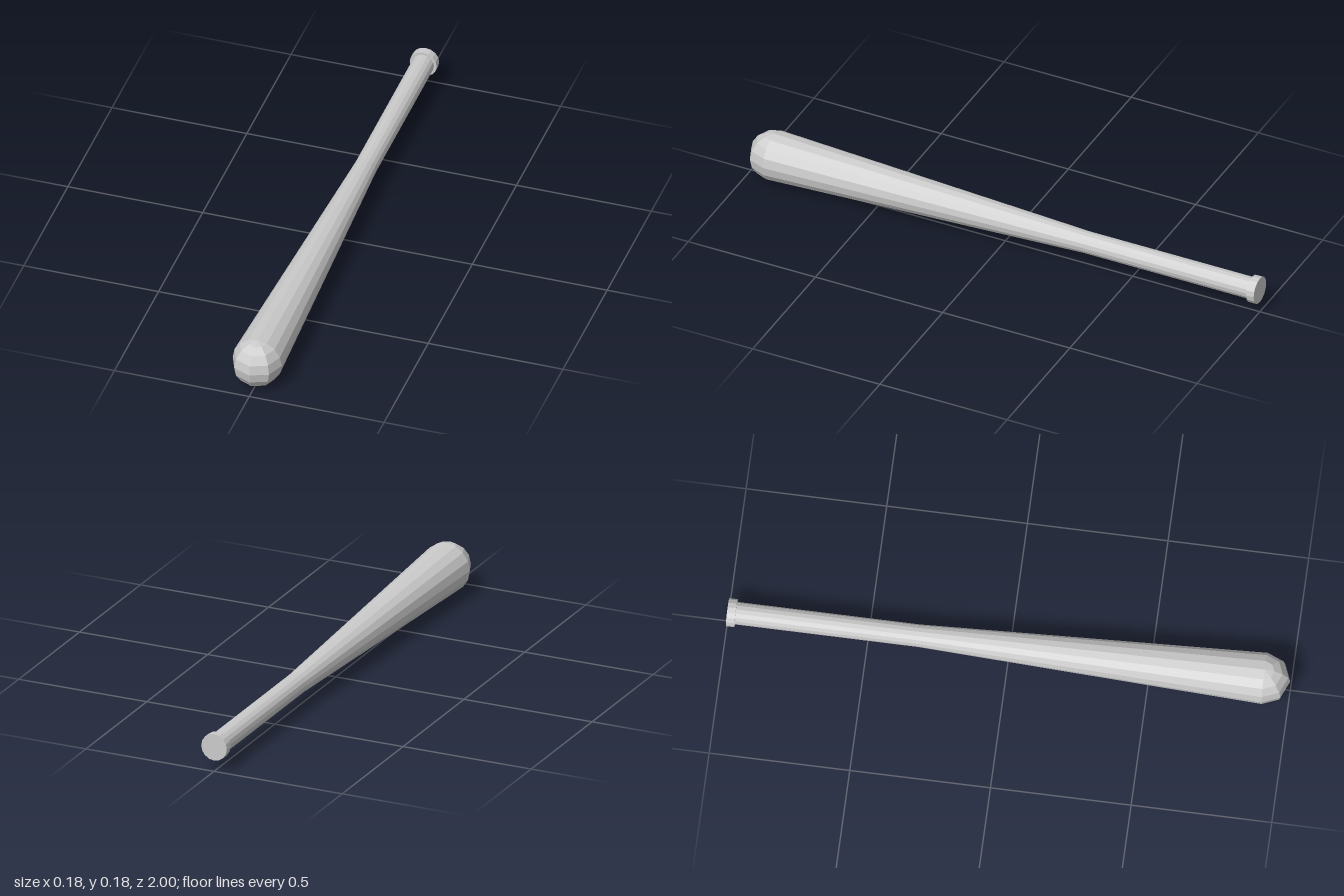
import * as THREE from 'three';

const SIDES = 16;
const R = 0.091; // barrel radius, also the height of the axis

export function createModel() {
  const bat = new THREE.Group();
  bat.name = 'bat';
  const material = new THREE.MeshStandardMaterial({ color: 0xcccccc, flatShading: true });

  const add = (name, geometry) => {
    const mesh = new THREE.Mesh(geometry, material);
    mesh.name = name;
    mesh.position.y = R;
    bat.add(mesh);
  };

  // Section along z from the back radius to the front radius
  const section = (name, zBack, zFront, rBack, rFront, open) => {
    const g = new THREE.CylinderGeometry(rFront, rBack, zFront - zBack, SIDES, 1, open);
    g.rotateX(Math.PI / 2);
    g.translate(0, 0, (zBack + zFront) / 2);
    add(name, g);
  };

  section('knob', -1, -0.97, 0.05, 0.05, false);
  section('handle', -0.97, -0.32, 0.04, 0.04, true);
  section('barrel', -0.32, 1 - R, 0.04, R, true);

  // Rounded tip: front half of a coarse sphere with upright poles
  const tip = new THREE.SphereGeometry(R, 4, 8, 0, Math.PI);
  tip.translate(0, 0, 1 - R);
  add('tip', tip);

  return bat;
}
